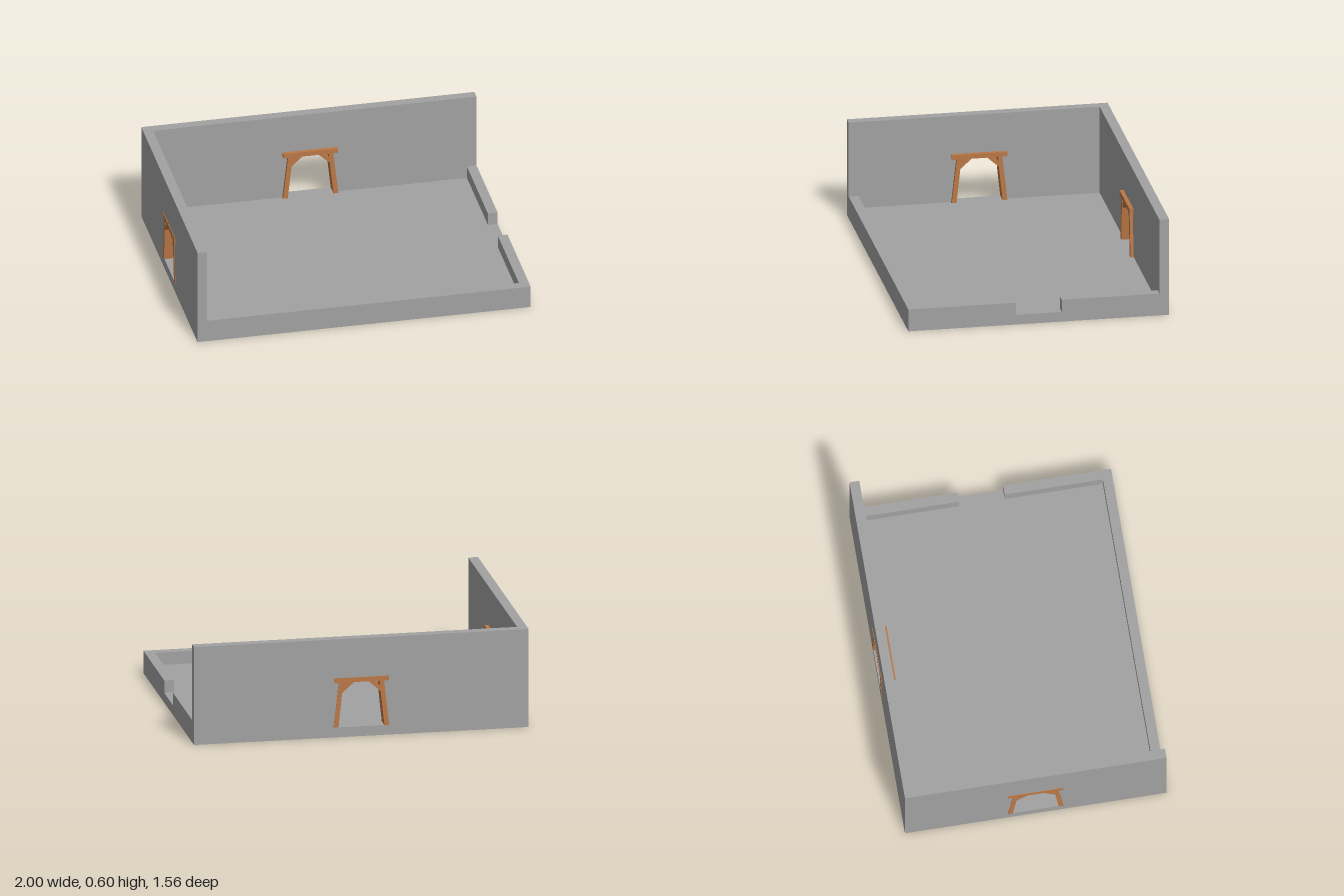
import * as THREE from 'three';

const stone = new THREE.MeshStandardMaterial({ color: 0xa2a2a2, flatShading: true });
const wood = new THREE.MeshStandardMaterial({ color: 0xba7846, flatShading: true });

const X = 0.998, Z = 0.776, T = 0.058;  // half width, half depth, wall thickness
const FLOOR = 0.06, LOW = 0.136, HIGH = 0.597;

function add(parent, name, geometry, material) {
  const mesh = new THREE.Mesh(geometry, material);
  mesh.name = name;
  parent.add(mesh);
  return mesh;
}

// box given by its minimum and maximum corners
function block(parent, name, [x0, y0, z0], [x1, y1, z1], material = stone) {
  const mesh = add(parent, name, new THREE.BoxGeometry(x1 - x0, y1 - y0, z1 - z0), material);
  mesh.position.set((x0 + x1) / 2, (y0 + y1) / 2, (z0 + z1) / 2);
}

// outline in x and y, extruded from z0 to z1
function slab(parent, name, points, z0, z1, material) {
  const shape = new THREE.Shape(points.map(([x, y]) => new THREE.Vector2(x, y)));
  const geometry = new THREE.ExtrudeGeometry(shape, { depth: z1 - z0, bevelEnabled: false });
  geometry.translate(0, 0, z0);
  add(parent, name, geometry, material);
}

// tall wall with a tapered doorway; z = 0 is its outer face, +z points into the room
function doorWall(name, left, right) {
  const wall = new THREE.Group();
  wall.name = name;
  slab(wall, 'wall', [
    [left, FLOOR], [-0.15, FLOOR], [-0.121, 0.345], [0.121, 0.345],
    [0.15, FLOOR], [right, FLOOR], [right, HIGH], [left, HIGH],
  ], 0, T, stone);

  // timber door frame running through the wall, slightly proud of both faces
  const frame = new THREE.Group();
  frame.name = 'doorFrame';
  wall.add(frame);
  block(frame, 'lintel', [-0.164, 0.332, -0.004], [0.164, 0.36, 0.082], wood);
  for (const s of [-1, 1]) {
    const side = s < 0 ? 'right' : 'left';
    const mirror = (points) => points.map(([x, y]) => [s * x, y]);
    slab(frame, side + 'Post', mirror([
      [0.166, FLOOR], [0.135, 0.332], [0.108, 0.332], [0.137, FLOOR],
    ]), -0.003, 0.077, wood);
    slab(frame, side + 'Brace', mirror([
      [0.115, 0.268], [0.043, 0.332], [0.073, 0.332], [0.112, 0.299],
    ]), -0.002, 0.074, wood);
  }
  return wall;
}

export function createModel() {
  const room = new THREE.Group();
  room.name = 'room';

  block(room, 'floor', [-X, 0, -Z], [X, FLOOR, Z]);

  // tall walls at the back and on the -x side
  const back = doorWall('backWall', -X, X);
  back.position.z = -Z;
  room.add(back);
  const sideWall = doorWall('rightWall', -Z, Z - T);
  sideWall.rotation.y = Math.PI / 2;
  sideWall.position.x = -X;
  room.add(sideWall);

  // low walls at the front and on the +x side, with an entrance gap
  block(room, 'frontLowWall', [-X + T, FLOOR, Z - T], [X, LOW, Z]);
  block(room, 'leftLowWallFront', [X - T, FLOOR, 0.135], [X, LOW, Z - T]);
  block(room, 'leftLowWallBack', [X - T, FLOOR, -Z + T], [X, LOW, -0.137]);

  return room;
}
